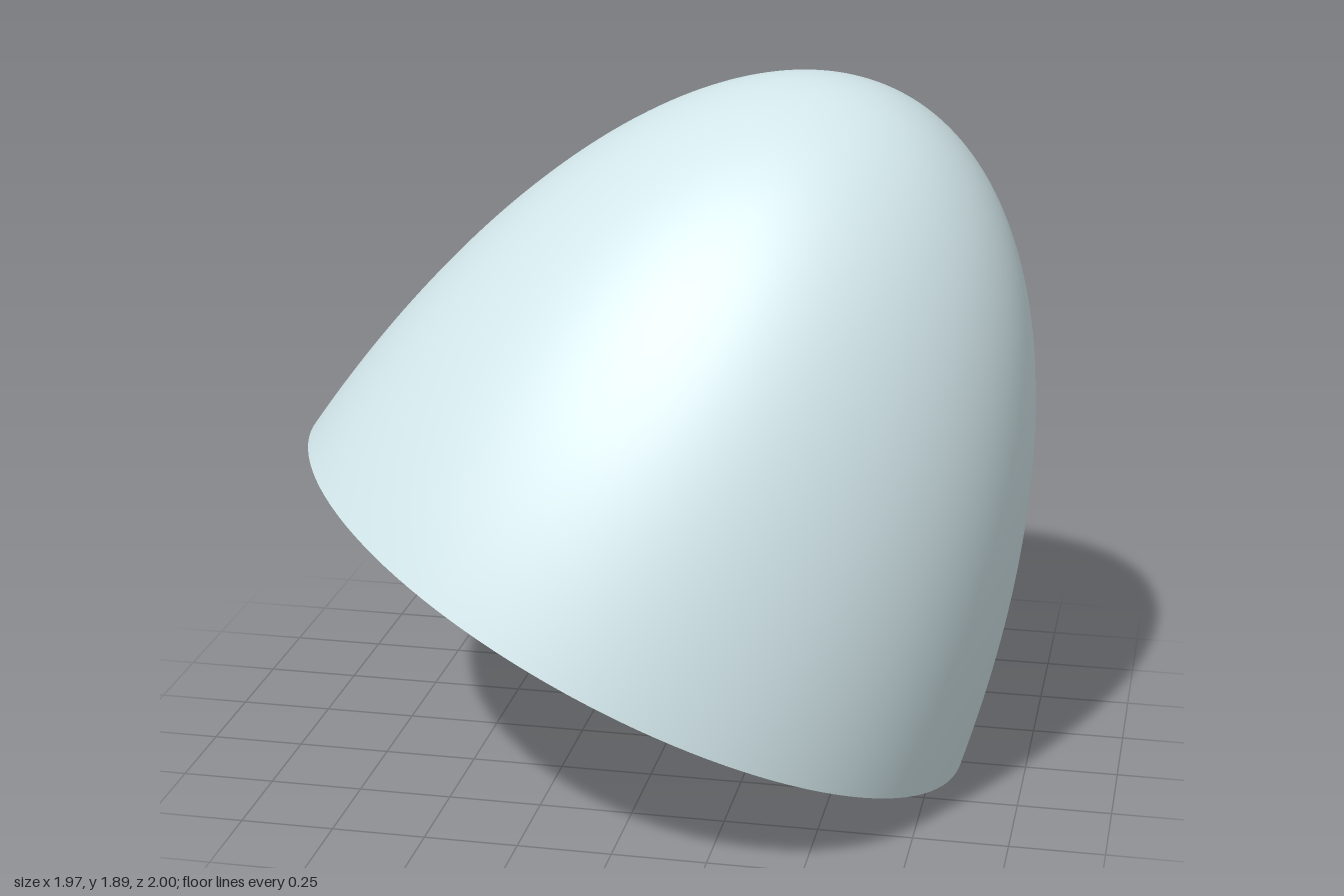
import * as THREE from 'three';

export function createModel() {
  const group = new THREE.Group();
  const R = 1.005, H = 1.545, K = 0.55; // rim radius, height, bulge of the side

  // Profile of a truncated ellipsoid, from the rim up to the tip
  const a = H * (1 + K) / (2 * K);
  const b = R * (1 + K) / (2 * Math.sqrt(K));
  const t0 = H - a;
  const start = Math.asin(-t0 / a);
  const steps = 64;
  const profile = [];
  for (let i = 0; i <= steps; i++) {
    const angle = start + (Math.PI / 2 - start) * i / steps;
    profile.push(new THREE.Vector2(Math.max(0, b * Math.cos(angle)), t0 + a * Math.sin(angle)));
  }

  // Thin open dome, tilted on its rim
  const material = new THREE.MeshStandardMaterial({ color: 0xd2e6ea, side: THREE.DoubleSide });
  const dome = new THREE.Mesh(new THREE.LatheGeometry(profile, 128), material);
  dome.name = 'domeShell';
  const axis = new THREE.Vector3(0.435, 0.894, -0.1).normalize();
  dome.quaternion.setFromUnitVectors(new THREE.Vector3(0, 1, 0), axis);
  dome.position.set(-0.08, 0.451, 0);
  group.add(dome);
  return group;
}
